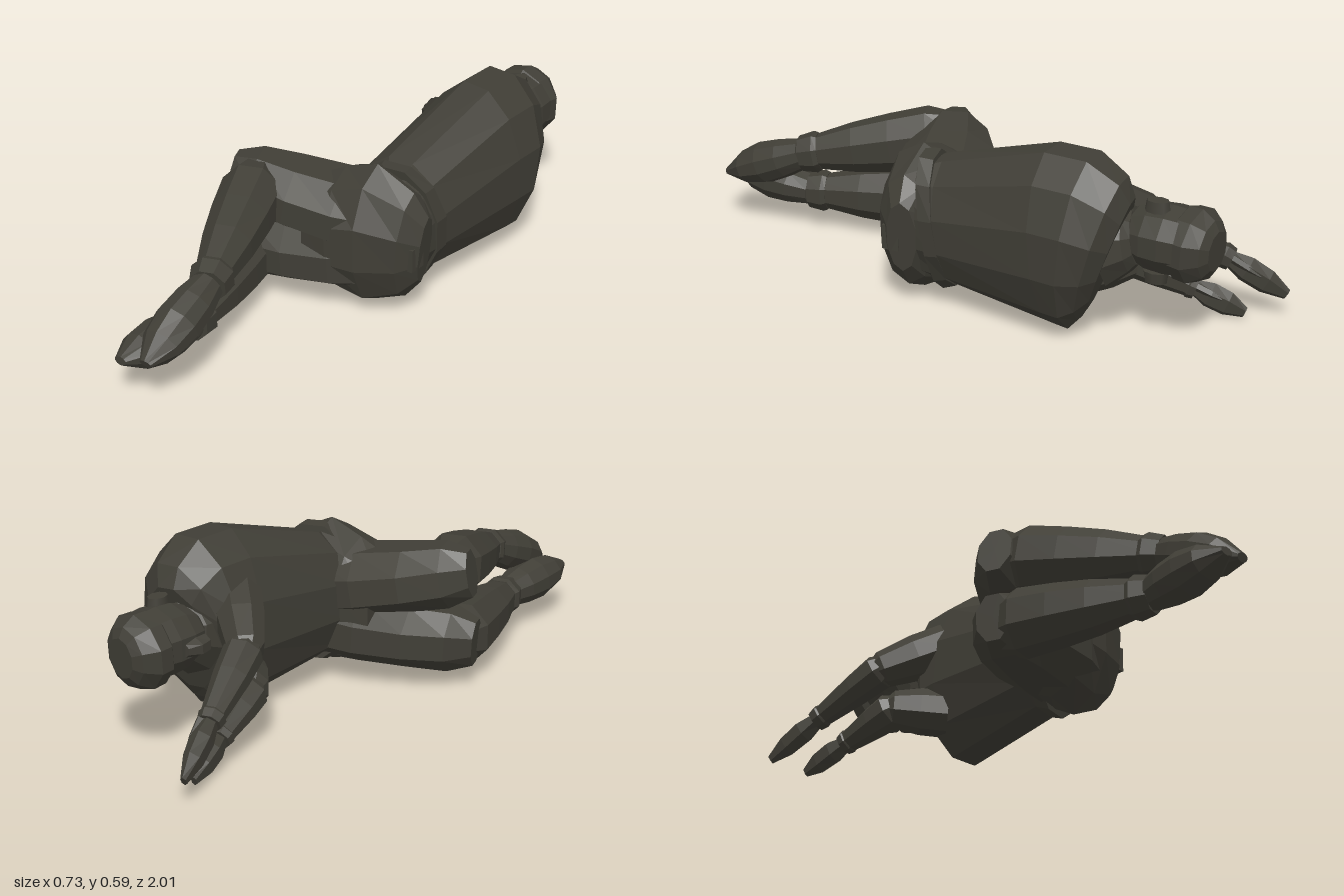
import * as THREE from 'three';

const cloth = new THREE.MeshStandardMaterial({ color: 0x403e36 });
cloth.name = 'dark olive cloth';

// Faceted tube through stations [x, y, z, halfWidth, halfHeight], capped at both ends
function loft(name, stations, sides = 8, lean = 0) {
  const up = new THREE.Vector3(Math.sin(lean), Math.cos(lean), 0);
  const centres = stations.map(s => new THREE.Vector3(s[0], s[1], s[2]));
  const pos = [], index = [], n = stations.length;
  stations.forEach((s, i) => {
    const t = centres[Math.min(i + 1, n - 1)].clone().sub(centres[Math.max(i - 1, 0)]).normalize();
    const side = new THREE.Vector3().crossVectors(up, t).normalize();
    const top = new THREE.Vector3().crossVectors(t, side);
    for (let j = 0; j < sides; j++) {
      const a = ((j + 0.5) / sides) * Math.PI * 2;
      const p = centres[i].clone()
        .addScaledVector(side, Math.cos(a) * s[3])
        .addScaledVector(top, Math.sin(a) * s[4]);
      pos.push(p.x, p.y, p.z);
    }
  });
  const first = n * sides;
  [centres[0], centres[n - 1]].forEach(c => pos.push(c.x, c.y, c.z));
  for (let j = 0; j < sides; j++) {
    const k = (j + 1) % sides;
    for (let i = 0; i < n - 1; i++) {
      const a = i * sides + j, b = i * sides + k;
      index.push(a, b, b + sides, a, b + sides, a + sides);
    }
    index.push(first, k, j, first + 1, (n - 1) * sides + j, (n - 1) * sides + k);
  }
  const g = new THREE.BufferGeometry();
  g.setAttribute('position', new THREE.Float32BufferAttribute(pos, 3));
  g.setIndex(index);
  const flat = g.toNonIndexed();
  flat.computeVertexNormals();
  const mesh = new THREE.Mesh(flat, cloth);
  mesh.name = name;
  return mesh;
}

// Straight limb from joint a to joint b; profile rows are [fraction, halfWidth, halfHeight]
function limb(name, a, b, profile, sides = 8) {
  const stations = profile.map(([f, w, h]) => [...a.map((v, i) => v + (b[i] - v) * f), w, h]);
  return loft(name, stations, sides);
}

// Limb profiles shared by both sides
const THIGH = [[0, 0.15, 0.12], [0.3, 0.175, 0.115], [0.6, 0.158, 0.11], [0.85, 0.115, 0.108], [1, 0.06, 0.08]];
const SHIN = [[0, 0.06, 0.085], [0.15, 0.105, 0.11], [0.4, 0.098, 0.1], [0.65, 0.084, 0.085], [1, 0.05, 0.05]];
const ANKLE = [[0.89, 0.063, 0.064], [0.92, 0.072, 0.07], [1.02, 0.06, 0.06]];
const BOOT = [[0, 0.05, 0.052], [0.25, 0.07, 0.066], [0.5, 0.076, 0.072], [0.75, 0.066, 0.056], [1, 0.022, 0.014]];
const ARM = [[0, 0.08, 0.08], [0.5, 0.078, 0.078], [1, 0.062, 0.062], [1.15, 0.035, 0.035]];
const FOREARM = [[-0.1, 0.04, 0.04], [0.05, 0.064, 0.062], [0.4, 0.058, 0.054], [1, 0.036, 0.035]];
const WRIST = [[0.9, 0.038, 0.038], [0.93, 0.044, 0.042], [1.03, 0.038, 0.037]];
const HAND = [[0, 0.027, 0.027], [0.3, 0.036, 0.044], [0.65, 0.03, 0.042], [1, 0.01, 0.018]];
const THUMB = [[0.1, 0.014, 0.014], [0.4, 0.013, 0.013], [0.6, 0.006, 0.006]];

function leg(side, hip, knee, shinTop, ankle, toe) {
  return [
    limb(side + 'Thigh', hip, knee, THIGH),
    limb(side + 'Shin', shinTop, ankle, SHIN),
    limb(side + 'AnkleCuff', shinTop, ankle, ANKLE),
    limb(side + 'Boot', ankle, toe, BOOT, 10),
  ];
}

function arm(side, shoulder, elbow, wrist, tip) {
  const thumb = limb(side + 'Thumb', wrist, tip, THUMB, 5);
  thumb.position.set(0.025, 0.02, 0);
  return [
    limb(side + 'Arm', shoulder, elbow, ARM),
    limb(side + 'Forearm', elbow, wrist, FOREARM),
    limb(side + 'WristCuff', elbow, wrist, WRIST),
    limb(side + 'Hand', wrist, tip, HAND, 6),
    thumb,
  ];
}

export function createModel() {
  const figure = new THREE.Group();
  figure.name = 'recliningFigure';

  // Torso lying on its side, shoulders towards -z
  figure.add(loft('torso', [
    [0.165, 0.285, -0.578, 0.11, 0.2],
    [0.17, 0.295, -0.55, 0.155, 0.255],
    [0.172, 0.31, -0.49, 0.188, 0.297],
    [0.167, 0.312, -0.4, 0.188, 0.294],
    [0.14, 0.277, -0.02, 0.165, 0.215],
    [0.2, 0.262, 0.125, 0.095, 0.18],
  ], 12, 0.04));

  // Belt and hips
  figure.add(loft('belt', [
    [0.14, 0.275, 0, 0.172, 0.225],
    [0.15, 0.268, 0.045, 0.158, 0.235],
  ], 12, 0.06));
  figure.add(loft('hips', [
    [0.3, 0.25, 0.08, 0.05, 0.12],
    [0.25, 0.255, 0.09, 0.095, 0.19],
    [0.13, 0.262, 0.095, 0.15, 0.245],
    [0.02, 0.255, 0.1, 0.165, 0.21],
    [-0.08, 0.255, 0.12, 0.14, 0.16],
  ], 10));
  const pouch = new THREE.Mesh(new THREE.BoxGeometry(0.02, 0.08, 0.06), cloth);
  pouch.name = 'hipPouch';
  pouch.position.set(0.292, 0.24, 0.12);
  figure.add(pouch);

  // Bent legs, one resting above the other
  figure.add(
    ...leg('upper', [0.14, 0.3, 0.05], [-0.335, 0.385, 0.23], [-0.25, 0.385, 0.2], [-0.072, 0.293, 0.68], [-0.065, 0.175, 0.985]),
    ...leg('lower', [0.14, 0.18, 0.05], [-0.35, 0.15, 0.24], [-0.28, 0.15, 0.2], [-0.138, 0.135, 0.69], [-0.15, 0.16, 1]));

  // Arms folded past the face, hands reaching beyond the head
  figure.add(
    ...arm('upper', [0.07, 0.41, -0.43], [-0.1, 0.32, -0.58], [-0.178, 0.19, -0.82], [-0.236, 0.08, -0.995]),
    ...arm('lower', [0.06, 0.16, -0.43], [-0.08, 0.17, -0.54], [-0.128, 0.09, -0.73], [-0.17, 0.02, -0.885]));

  // Neck, collar, head and cap
  figure.add(limb('collar', [0.13, 0.335, -0.64], [0.15, 0.32, -0.55],
    [[0, 0.075, 0.085], [0.25, 0.1, 0.105], [1, 0.13, 0.15]], 10));
  figure.add(limb('neck', [0.11, 0.34, -0.7], [0.13, 0.335, -0.57], [[0, 0.06, 0.065], [1, 0.065, 0.07]]));
  figure.add(limb('head', [0.105, 0.345, -0.81], [0.095, 0.345, -0.605],
    [[0, 0.11, 0.105], [0.3, 0.117, 0.11], [0.6, 0.114, 0.105], [0.85, 0.095, 0.085], [1, 0.06, 0.055]], 10));
  figure.add(limb('cap', [0.105, 0.335, -0.895], [0.092, 0.342, -0.775],
    [[0, 0.055, 0.065], [0.15, 0.085, 0.095], [0.5, 0.124, 0.12], [0.87, 0.12, 0.118], [1, 0.1, 0.1]], 10));
  figure.add(limb('nose', [-0.01, 0.34, -0.74], [-0.01, 0.34, -0.655],
    [[0, 0.015, 0.02], [0.5, 0.035, 0.03], [1, 0.025, 0.03]], 6));

  // Ears on both sides of the head
  for (const s of [1, -1]) {
    const ear = new THREE.Mesh(new THREE.CylinderGeometry(0.026, 0.03, 0.035, 8), cloth);
    ear.name = s > 0 ? 'upperEar' : 'lowerEar';
    ear.scale.z = 1.4;
    ear.rotation.x = s > 0 ? 0 : Math.PI;
    ear.position.set(0.13, 0.34 + s * 0.115, -0.71);
    figure.add(ear);
  }
  return figure;
}
